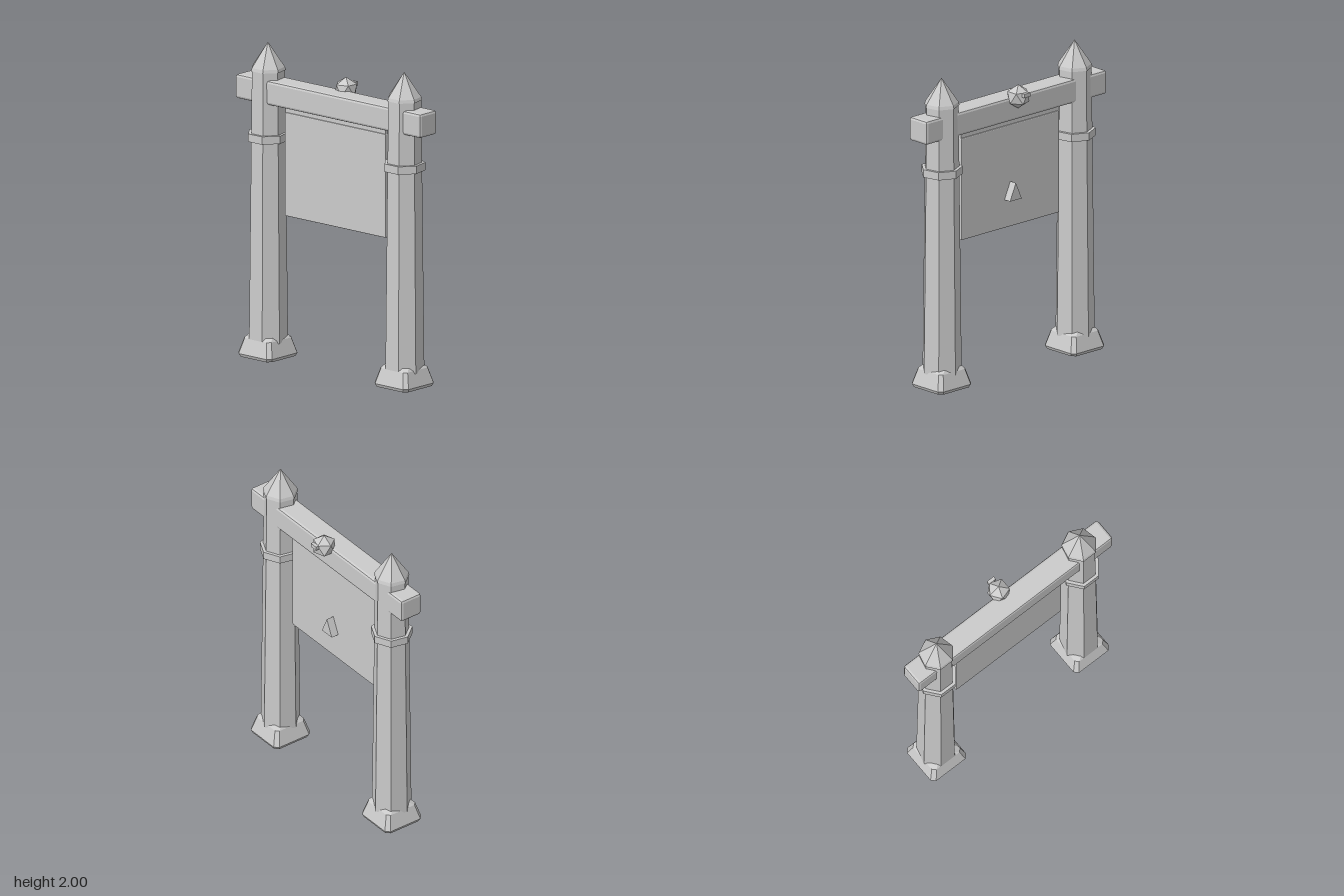
import * as THREE from 'three';
import { RoundedBoxGeometry } from 'three/addons/geometries/RoundedBoxGeometry.js';
import { ConvexGeometry } from 'three/addons/geometries/ConvexGeometry.js';

const AXIS_Z = 0.016; // depth of the posts and the beam

const material = new THREE.MeshStandardMaterial({ color: 0xcccccc, flatShading: true });

function part(parent, name, geometry, x = 0, y = 0, z = 0) {
  const mesh = new THREE.Mesh(geometry, material);
  mesh.name = name;
  mesh.position.set(x, y, z);
  parent.add(mesh);
  return mesh;
}

// Box with narrow chamfered edges
const chamferBox = (w, h, d, r) => new RoundedBoxGeometry(w, h, d, 1, r);

// Seven-sided prism with a flat side to the front
function heptagon(rTop, rBottom, y0, y1) {
  const g = new THREE.CylinderGeometry(rTop, rBottom, y1 - y0, 7, 1, false, Math.PI);
  return g.translate(0, (y0 + y1) / 2, 0);
}

// Square foot with cut corners, from [y, half width, corner cut] layers
function footGeometry() {
  const layers = [[0, 0.132, 0.025], [0.02, 0.141, 0.025], [0.118, 0.112, 0.02], [0.138, 0.095, 0.03]];
  const points = [];
  for (const [y, w, c] of layers) {
    for (const sx of [-1, 1]) {
      for (const sz of [-1, 1]) {
        points.push(new THREE.Vector3(sx * w, y, sz * (w - c)));
        points.push(new THREE.Vector3(sx * (w - c), y, sz * w));
      }
    }
  }
  return new ConvexGeometry(points);
}

function createPost(name, x) {
  const post = new THREE.Group();
  post.name = name;
  post.position.set(x, 0, AXIS_Z);
  part(post, 'foot', footGeometry());
  part(post, 'shaft', heptagon(0.106, 0.125, 0.1, 1.83));
  part(post, 'collar', heptagon(0.131, 0.131, 1.375, 1.425));
  // Pointed cap with a small lip
  const profile = [[0, 1.822], [0.112, 1.822], [0.106, 1.842], [0, 2]].map(p => new THREE.Vector2(...p));
  part(post, 'cap', new THREE.LatheGeometry(profile, 7, Math.PI));
  return post;
}

export function createModel() {
  const model = new THREE.Group();
  model.name = 'hangingSign';

  model.add(createPost('leftPost', 0.567), createPost('rightPost', -0.567));

  // Crossbeam through both posts
  part(model, 'crossbeam', chamferBox(1.54, 0.155, 0.156, 0.017), 0, 1.698, AXIS_Z);

  // Sign board and the strip it hangs from
  part(model, 'signBoard', chamferBox(0.836, 0.66, 0.03, 0.006), 0, 1.247, 0.01);
  part(model, 'hangingStrip', new THREE.BoxGeometry(0.832, 0.07, 0.018), 0, 1.605, 0.01);

  // Triangular block on the back of the board
  const triangle = new THREE.Shape();
  triangle.moveTo(-0.05, 0);
  triangle.lineTo(0.05, 0);
  triangle.lineTo(0, 0.11);
  const wedge = new THREE.ExtrudeGeometry(triangle, { depth: 0.055, bevelEnabled: false });
  part(model, 'backWedge', wedge, 0, 1.1, -0.055);

  // Faceted knob at the back of the beam, stood on one of its points
  const knob = new THREE.IcosahedronGeometry(0.077, 0);
  knob.rotateZ(Math.atan(2 / (1 + Math.sqrt(5))));
  part(model, 'knob', knob, 0, 1.777, -0.076);
  part(model, 'knobPeg', new THREE.BoxGeometry(0.02, 0.016, 0.04), 0, 1.802, -0.13);
  part(model, 'knobTab', new THREE.BoxGeometry(0.053, 0.025, 0.022), 0, 1.802, -0.148);

  return model;
}
